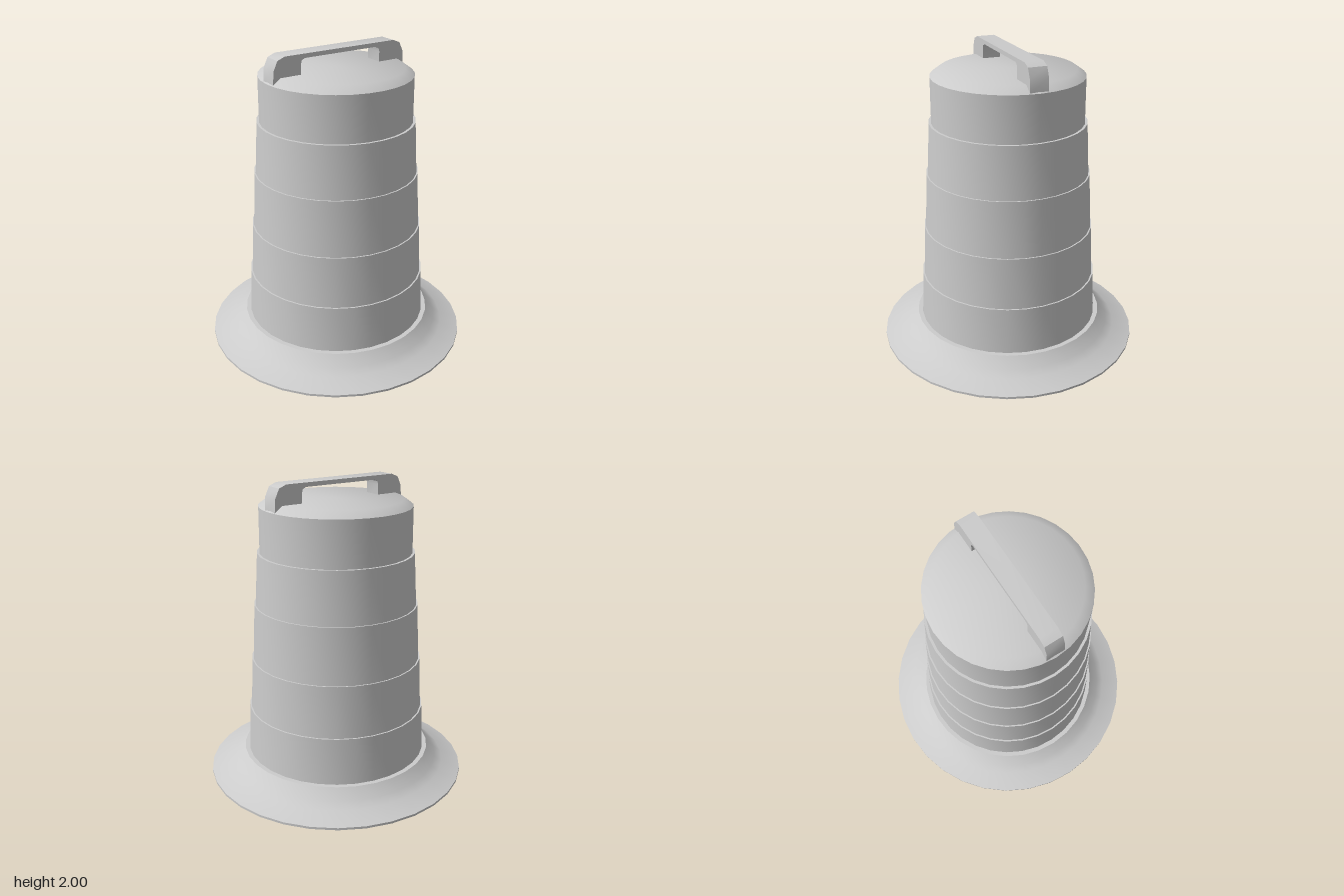
import * as THREE from 'three';
import { toCreasedNormals } from 'three/addons/utils/BufferGeometryUtils.js';

const SIDES = 32;
const CREASE = 0.7;

export function createModel() {
  const group = new THREE.Group();
  const material = new THREE.MeshStandardMaterial({ color: 0xcccccc });

  const add = (name, geometry) => {
    const mesh = new THREE.Mesh(toCreasedNormals(geometry, CREASE), material);
    mesh.name = name;
    group.add(mesh);
  };
  const lathe = (points) =>
    new THREE.LatheGeometry(points.map(([r, y]) => new THREE.Vector2(r, y)), SIDES);

  // Flared weighted base, closed underneath
  add('base', lathe([
    [0, 0], [0.875, 0], [0.875, 0.015], [0.75, 0.056], [0.7, 0.09], [0.64, 0.155], [0, 0.155],
  ]));

  // Stepped, tapering bands: [bottom y, top y, bottom radius, top radius]
  const bands = [
    [0.155, 0.468, 0.61, 0.595],
    [0.468, 0.815, 0.585, 0.569],
    [0.815, 1.19, 0.56, 0.542],
    [1.19, 1.535, 0.533, 0.513],
  ];
  const profile = bands.flatMap(([y0, y1, r0, r1]) => [[r0, y0], [r1, y1]]);
  // Straight neck, bevelled shoulder and lid
  profile.push([0.497, 1.535], [0.495, 1.833], [0.437, 1.875], [0, 1.875]);
  add('barrel', lathe(profile));

  // Carrying handle: half outline from the top centre round the leg, then mirrored
  const half = [
    [0.4, 2], [0.45, 1.98], [0.478, 1.92], [0.484, 1.835], [0.29, 1.835],
    [0.29, 1.94], [0.284, 1.962], [0.262, 1.973],
  ];
  const mirrored = half.map(([x, y]) => [-x, y]).reverse();
  const outline = new THREE.Shape([...half, ...mirrored].map(([x, y]) => new THREE.Vector2(x, y)));
  const handle = new THREE.ExtrudeGeometry(outline, { depth: 0.12, bevelEnabled: false });
  handle.translate(0, 0, -0.06);
  add('handle', handle);

  return group;
}
